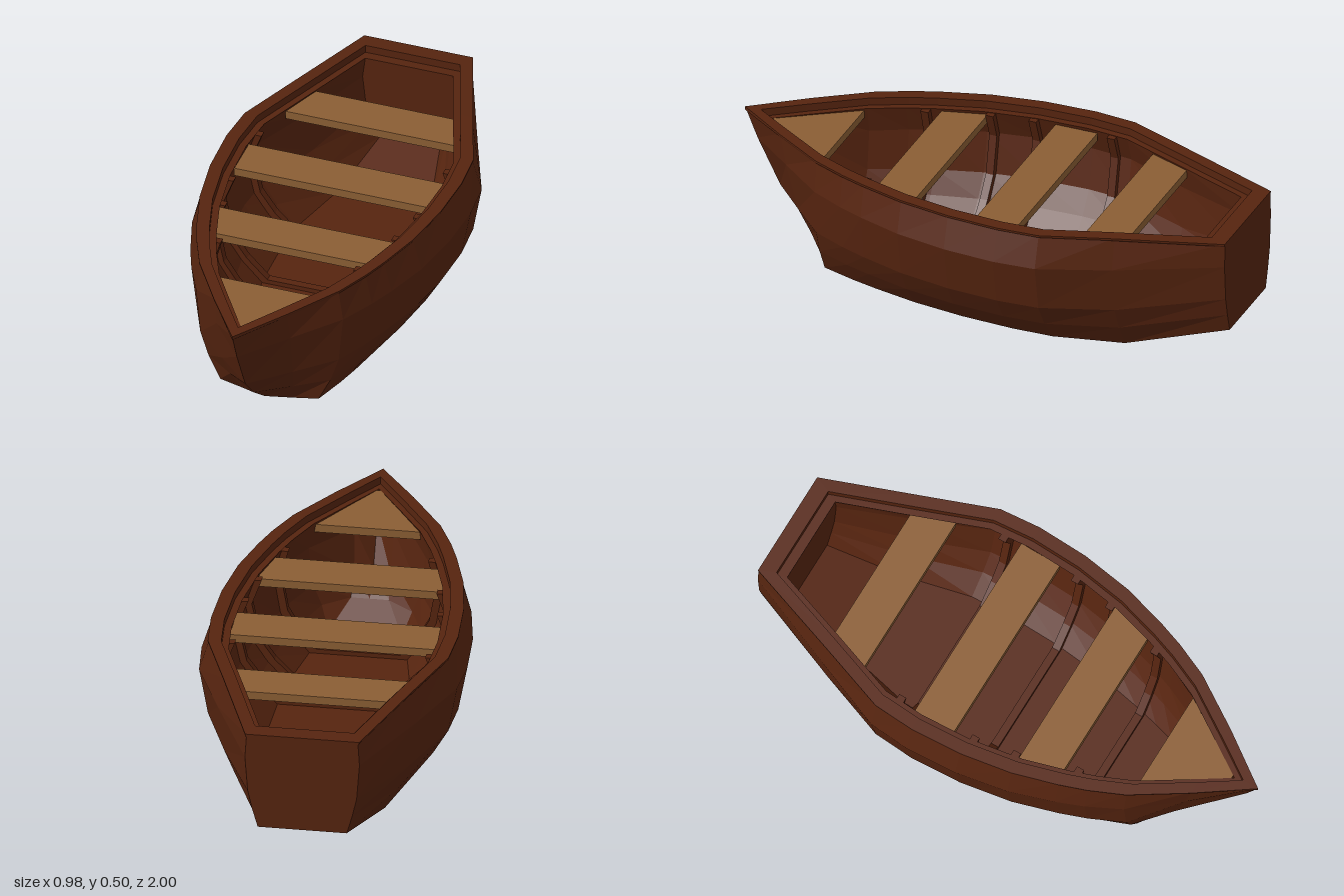
import * as THREE from 'three';

// Half-width of the hull along its length: [station, half-width]
const PLAN = [[-1, 0.205], [-0.62, 0.365], [-0.36, 0.475], [-0.2, 0.49], [0, 0.48], [0.2, 0.445],
  [0.37, 0.39], [0.47, 0.35], [0.6, 0.285], [0.8, 0.143], [1, 0]];
// Strakes from bottom to rail: height fraction, width factor amidships / stern / bow, stem position
const LEVELS = [
  { h: 0, f: 0.645, stern: 0.8, bow: 0.75, stem: 0.65 },
  { h: 0.19, f: 0.81, stern: 0.9, bow: 0.9, stem: 0.77 },
  { h: 0.385, f: 0.93, stern: 0.98, bow: 0.98, stem: 0.86 },
  { h: 0.75, f: 1, stern: 1.03, bow: 1, stem: 0.95 },
  { h: 1, f: 0.92, stern: 1, bow: 1, stem: 1 },
];
const TOP = LEVELS[4];
const LEDGE = 0.03; // drop from rail top to the inner ledge
const STATIONS = PLAN.map(p => p[0]);

const lerp = THREE.MathUtils.lerp;
const clamp = THREE.MathUtils.clamp;

function plan(s) {
  const i = clamp(PLAN.findIndex(p => p[0] >= s), 1, PLAN.length - 1);
  const [a, b] = [PLAN[i - 1], PLAN[i]];
  return lerp(a[1], b[1], clamp((s - a[0]) / (b[0] - a[0]), 0, 1));
}
// Forward of z = 0.6 every strake runs to its own point on the raked stem
const stationToZ = (L, s) => s <= 0.6 ? s : lerp(0.6, L.stem, (s - 0.6) / 0.4);
const zToStation = (L, z) => z <= 0.6 ? z : 0.6 + 0.4 * (z - 0.6) / (L.stem - 0.6);

function halfWidth(L, z) {
  const s = zToStation(L, z);
  const t = Math.min(1, Math.abs(s) ** 3);
  return plan(s) * lerp(L.f, s < 0 ? L.stern : L.bow, t);
}
const bottomY = z => 0.1 * clamp((-0.62 - z) / 0.38, 0, 1);
const railY = z => 0.5 - 0.015 * z * z;

// Point on a strake, moved inwards by d
function hullPoint(L, s, d, lift, drop) {
  const z = clamp(stationToZ(L, s), -1 + 1.4 * d, L.stem - 1.4 * d);
  const x = s === 1 ? 0 : Math.max(0, halfWidth(L, z) - d);
  return [x, lerp(bottomY(z) + lift, railY(z) - drop, L.h), z];
}
const mirror = ([x, y, z]) => [-x, y, z];

// Cross-section from the left rail, under the floor, to the right rail
function section(s, d, lift, drop) {
  const left = [...LEVELS].reverse().map(L => hullPoint(L, s, d, lift, drop));
  return [...left, ...left.map(mirror).reverse()];
}

// Joins equal-length rows of points into a surface, optionally closing the first row
function loft(rows, flip, capFirst) {
  const n = rows[0].length;
  const index = [];
  const quad = (a, b, c, d) => index.push(...(flip ? [a, c, b, a, d, c] : [a, b, c, a, c, d]));
  for (let i = 0; i < rows.length - 1; i++)
    for (let k = 0; k < n - 1; k++)
      quad(i * n + k, i * n + k + 1, (i + 1) * n + k + 1, (i + 1) * n + k);
  if (capFirst)
    for (let k = 0; k < n / 2 - 1; k++) quad(k, n - 1 - k, n - 2 - k, k + 1);
  const g = new THREE.BufferGeometry();
  g.setAttribute('position', new THREE.Float32BufferAttribute(rows.flat(2), 3));
  g.setIndex(index);
  const flat = g.toNonIndexed();
  flat.computeVertexNormals();
  return flat;
}

export function createModel() {
  const boat = new THREE.Group();
  boat.name = 'rowingBoat';

  const darkWood = new THREE.MeshStandardMaterial({ color: 0x56240f, flatShading: true, side: THREE.DoubleSide });
  darkWood.name = 'darkWood';
  const lightWood = new THREE.MeshStandardMaterial({ color: 0x8b5e34, flatShading: true });
  lightWood.name = 'lightWood';

  const add = (name, geometry, material) => {
    const mesh = new THREE.Mesh(geometry, material);
    mesh.name = name;
    boat.add(mesh);
    return mesh;
  };

  // Planked outside and inside, each closed by a transom
  add('outerHull', loft(STATIONS.map(s => section(s, 0, 0, 0)), false, true), darkWood);
  add('innerHull', loft(STATIONS.map(s => section(s, 0.07, 0.045, LEDGE)), true, true), darkWood);

  // Rail running all the way round, with a lower ledge inside: [inset, drop]
  const railProfile = [[0, 0.014], [-0.005, 0.006], [-0.005, 0], [0.045, 0], [0.045, LEDGE], [0.072, LEDGE]];
  const side = [...STATIONS].reverse().map(s => railProfile.map(([d, drop]) => hullPoint(TOP, s, d, 0, drop)));
  const otherSide = side.map(row => row.map(mirror)).reverse();
  add('rail', loft([...side, ...otherSide], false, false), darkWood);

  // Ribs hugging the inside of the hull
  for (const z of [-0.3, 0.01, 0.17, 0.4]) {
    const outer = section(z, 0.066, 0.04, LEDGE + 0.004);
    const inner = section(z, 0.092, 0.062, LEDGE + 0.004).reverse();
    const shape = new THREE.Shape([...outer, ...inner].map(p => new THREE.Vector2(p[0], p[1])));
    const g = new THREE.ExtrudeGeometry(shape, { depth: 0.03, bevelEnabled: false });
    g.translate(0, 0, z - 0.015);
    add('rib', g, darkWood);
  }

  // Seat boards cut to the taper of the hull: [name, back z, front z]
  const seats = [['sternSeat', -0.64, -0.48], ['middleSeat', -0.235, -0.07],
    ['forwardSeat', 0.185, 0.35], ['bowSeat', 0.61, 0.89]];
  for (const [name, z0, z1] of seats) {
    const w0 = halfWidth(TOP, z0) - 0.066;
    const w1 = halfWidth(TOP, z1) - 0.066;
    const shape = new THREE.Shape([[-w0, -z0], [-w1, -z1], [w1, -z1], [w0, -z0]]
      .map(p => new THREE.Vector2(...p)));
    const g = new THREE.ExtrudeGeometry(shape, { depth: 0.032, bevelEnabled: false });
    g.rotateX(-Math.PI / 2);
    g.translate(0, 0.424, 0);
    add(name, g, lightWood);
  }
  return boat;
}
